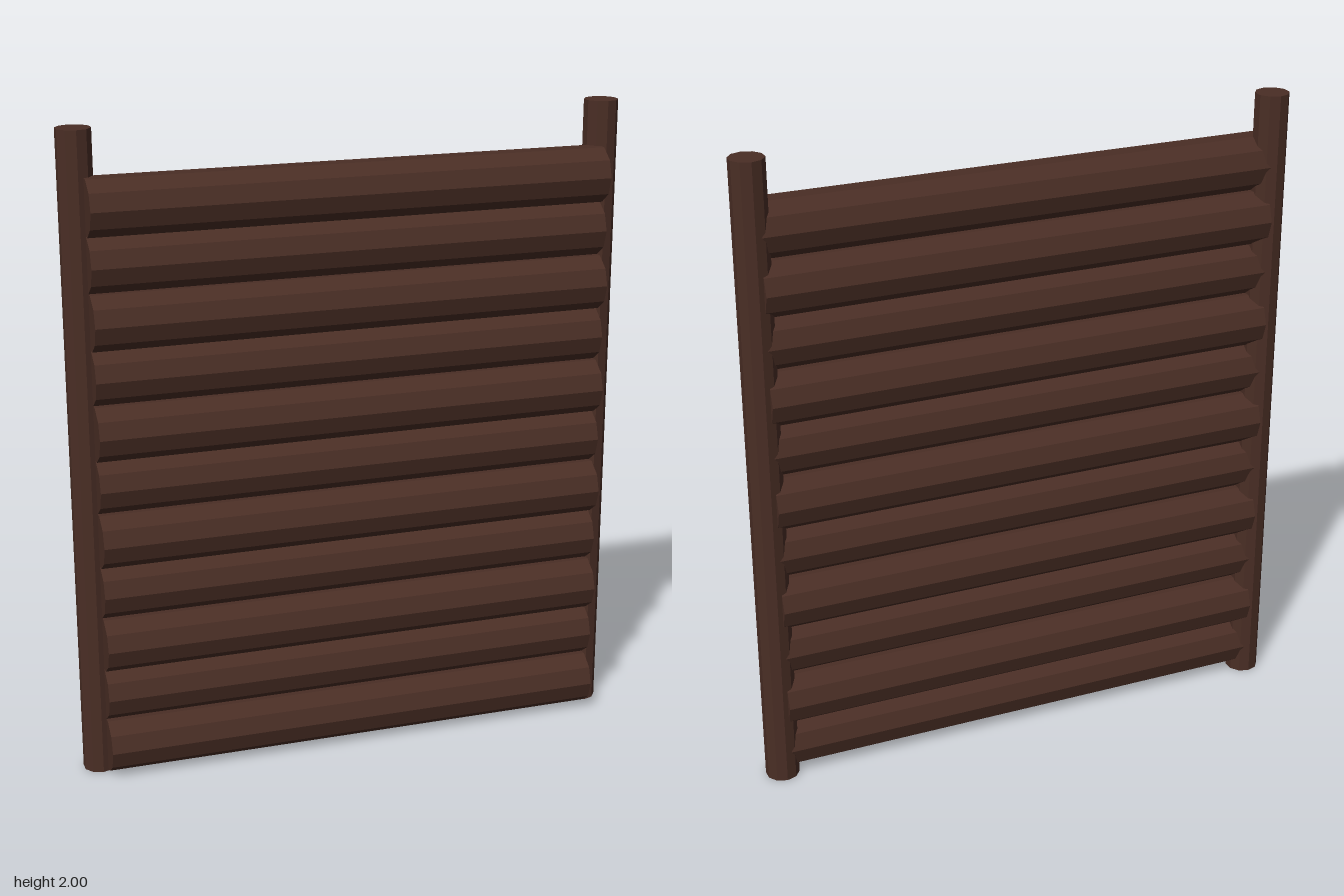
import * as THREE from 'three';

export function createModel() {
  const model = new THREE.Group();
  model.name = 'logWall';
  const bark = new THREE.MeshStandardMaterial({ color: 0x4a2e25, flatShading: true });
  bark.name = 'darkBark';

  // Two upright posts at the ends, set slightly back
  const postGeometry = new THREE.CylinderGeometry(0.0525, 0.0525, 2, 10);
  for (const side of [1, -1]) {
    const post = new THREE.Mesh(postGeometry, bark);
    post.name = side > 0 ? 'leftPost' : 'rightPost';
    post.position.set(side * 0.816, 1, -0.031);
    model.add(post);
  }

  // Stacked horizontal logs, alternately forward and back
  const logGeometry = new THREE.CylinderGeometry(0.0885, 0.0885, 1.6, 10);
  logGeometry.rotateZ(Math.PI / 2);
  for (let i = 0; i < 11; i++) {
    const log = new THREE.Mesh(logGeometry, bark);
    log.name = 'log' + (i + 1);
    log.position.set(0, 0.094 + i * 0.1685, i % 2 ? -0.0095 : 0.0105);
    model.add(log);
  }
  return model;
}
